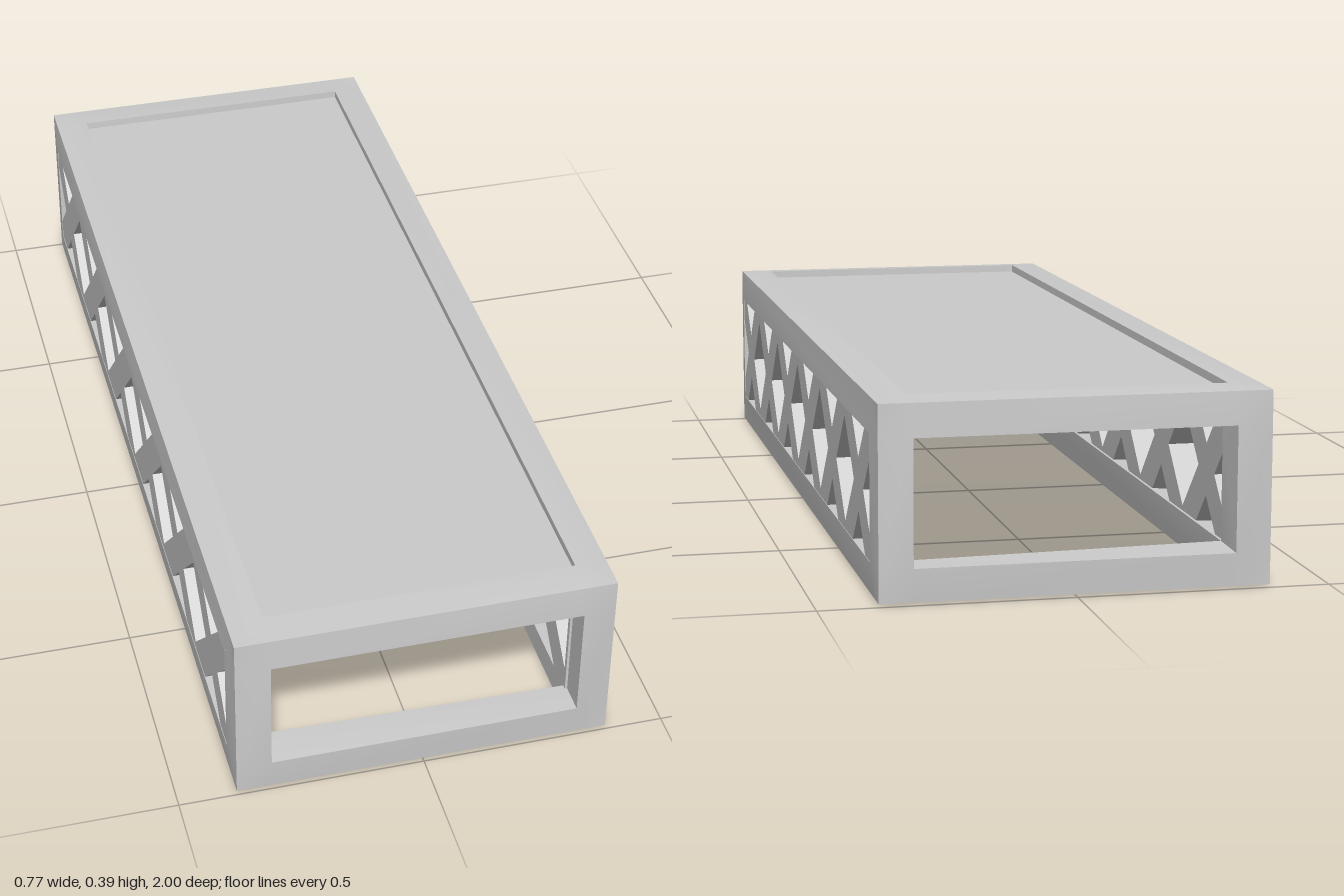
import * as THREE from 'three';
import { toCreasedNormals } from 'three/addons/utils/BufferGeometryUtils.js';

const IN = { x: 0.314, y: 0.124, z: 0.93 };   // half sizes of the openings
const OUT = { x: 0.387, y: 0.195, z: 1 };     // half sizes of the whole frame
const MID = 0.195;                            // mid height
const PULL = 0.005;                           // outer edges sit slightly inside the faces
const SHIFT = 0.002;                          // openings sit slightly towards the left side
const TAPER = 0.007;                          // right-hand openings narrow slightly inwards

// Box frame: a 3x3x3 grid of cells with the middle and the face cells left open
function frameGeometry() {
  const axes = ['x', 'y', 'z'];
  const solid = (c) => c.every((v) => Math.abs(v) <= 1) && c.filter((v) => v !== 0).length >= 2;
  // Grid lines are numbered -2 (outer), -1 (inner), 1 (inner), 2 (outer)
  const point = (g) => {
    const outerCount = g.filter((v) => Math.abs(v) === 2).length;
    const pull = outerCount >= 2 ? PULL : 0;
    const taper = outerCount === 0 && g[0] < 0 ? TAPER : 0;
    const p = g.map((v, i) => Math.sign(v) *
      (Math.abs(v) === 2 ? OUT[axes[i]] - pull : IN[axes[i]] - taper));
    if (Math.abs(g[0]) === 1) p[0] += SHIFT;
    return [p[0], p[1] + MID, p[2]];
  };
  const span = (v) => (v === 0 ? [-1, 1] : v < 0 ? [-2, -1] : [1, 2]);
  const positions = [];
  for (let i = -1; i <= 1; i++) for (let j = -1; j <= 1; j++) for (let k = -1; k <= 1; k++) {
    const cell = [i, j, k];
    if (!solid(cell)) continue;
    for (let a = 0; a < 3; a++) for (const s of [-1, 1]) {
      const next = cell.slice();
      next[a] += s;
      if (solid(next)) continue;
      const b = (a + 1) % 3, c = (a + 2) % 3;
      const corner = (u, v) => {
        const g = [0, 0, 0];
        g[a] = span(cell[a])[s > 0 ? 1 : 0];
        g[b] = span(cell[b])[u];
        g[c] = span(cell[c])[v];
        return point(g);
      };
      const q = [corner(0, 0), corner(1, 0), corner(1, 1), corner(0, 1)];
      if (s < 0) q.reverse();
      for (const n of [0, 1, 2, 0, 2, 3]) positions.push(...q[n]);
    }
  }
  const geo = new THREE.BufferGeometry();
  geo.setAttribute('position', new THREE.Float32BufferAttribute(positions, 3));
  return toCreasedNormals(geo, 0.5);
}

// Side lattice: a plate pierced so that a row of six crosses remains
function latticeGeometry(depth) {
  const pitch = 0.32, half = 0.053;   // cross spacing, half bar width along the axis
  const path = (pts) => new THREE.Path(pts.map(([z, y]) => new THREE.Vector2(z, y)));
  const zo = IN.z + 0.01, yo = IN.y + 0.01;
  const plate = new THREE.Shape([
    new THREE.Vector2(-zo, -yo), new THREE.Vector2(zo, -yo),
    new THREE.Vector2(zo, yo), new THREE.Vector2(-zo, yo),
  ]);
  // diamonds between the crosses
  const d = pitch / 2 - half;
  for (let i = -2; i <= 2; i++) {
    const z = i * pitch;
    plate.holes.push(path([[z - d, 0], [z, -d], [z + d, 0], [z, d]]));
  }
  // triangles above and below each cross
  const t = IN.y - half;
  for (let i = 0; i < 6; i++) {
    const z = (i - 2.5) * pitch;
    for (const s of [-1, 1]) {
      plate.holes.push(path([[z, s * half], [z - t, s * IN.y], [z + t, s * IN.y]]));
    }
  }
  // triangles at both ends
  const tip = 2.5 * pitch + half, e = IN.z - tip;
  for (const s of [-1, 1]) {
    plate.holes.push(path([[s * tip, 0], [s * IN.z, e], [s * IN.z, -e]]));
  }
  const geo = new THREE.ExtrudeGeometry(plate, { depth, bevelEnabled: false });
  geo.translate(0, 0, -depth / 2);
  geo.rotateY(-Math.PI / 2);
  return geo;
}

export function createModel() {
  const model = new THREE.Group();
  model.name = 'latticeBench';
  const add = (name, geometry, x, y, z) => {
    const mesh = new THREE.Mesh(geometry, new THREE.MeshStandardMaterial({ color: 0xcccccc }));
    mesh.name = name;
    mesh.position.set(x, y, z);
    model.add(mesh);
  };

  add('frame', frameGeometry(), 0, 0, 0);

  // Thin recessed top panel, tucked into the beams
  add('topPanel', new THREE.BoxGeometry(2 * IN.x + 0.02, 0.022, 2 * IN.z + 0.02), SHIFT, 0.363, 0);

  // Lattices as deep as the beams, nearly flush with the outer faces
  const lattice = latticeGeometry(0.075);
  add('leftLattice', lattice, 0.3485, MID, 0);
  add('rightLattice', lattice, -0.3485, MID, 0);
  return model;
}
